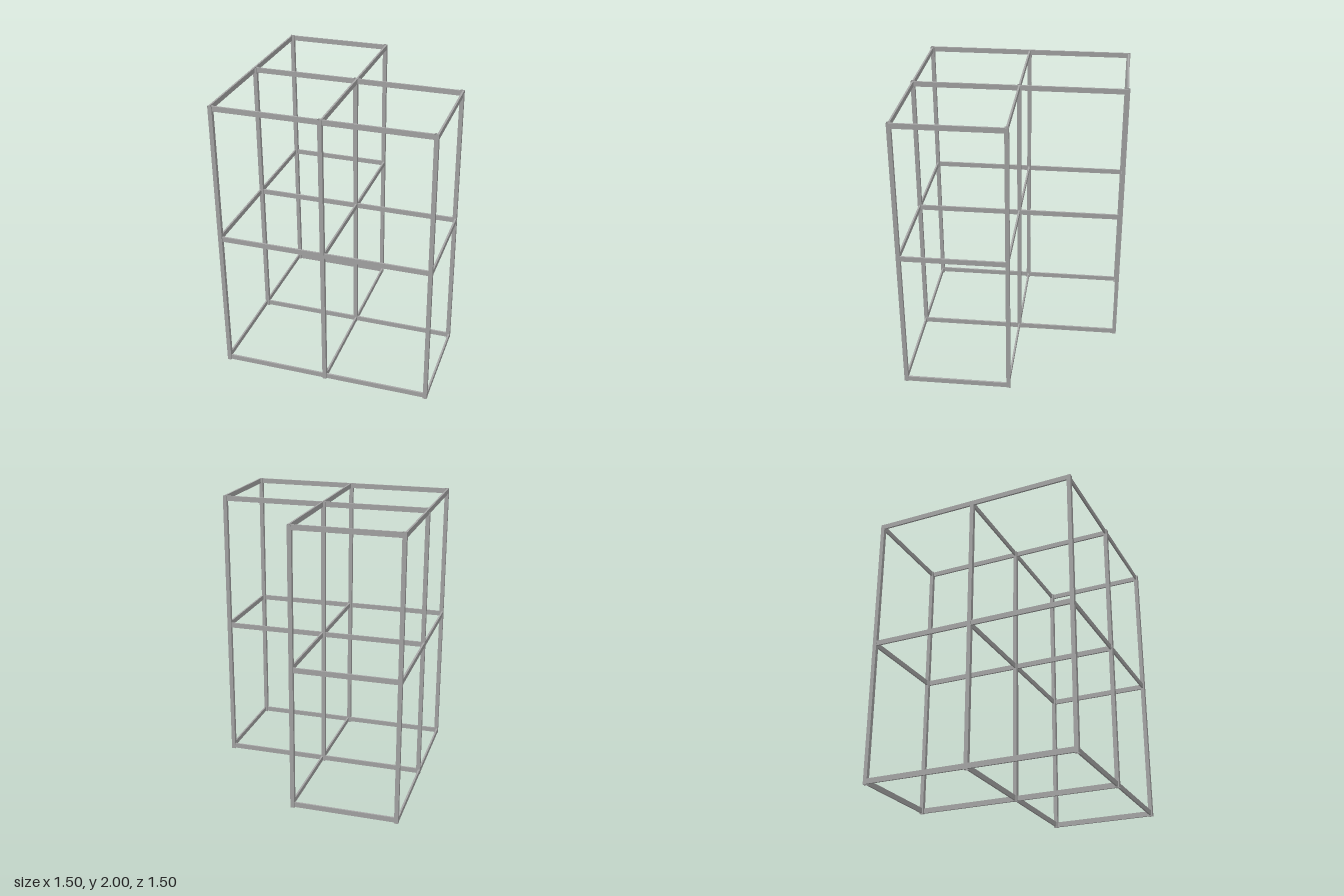
import * as THREE from 'three';

const PITCH = 0.736;            // spacing between post centres
const POST_W = 0.028;           // post width
const HEIGHT = 2;
const BEAM_H = 0.036, BEAM_T = 0.012;
const LEVELS = [0.003, 1.004, HEIGHT - BEAM_H]; // underside of each beam ring

export function createModel() {
  const model = new THREE.Group();
  model.name = 'shelfFrame';

  const steel = new THREE.MeshStandardMaterial({ color: 0xa8a8a8, side: THREE.DoubleSide });
  steel.name = 'grey steel';

  // Square tube, open at both ends, with flat sides
  const tube = new THREE.CylinderGeometry(POST_W / Math.SQRT2, POST_W / Math.SQRT2, HEIGHT, 4, 1, true)
    .rotateY(Math.PI / 4).toNonIndexed();
  tube.computeVertexNormals();

  const beam = (name, sx, sz, x, y, z) => {
    const mesh = new THREE.Mesh(new THREE.BoxGeometry(sx, BEAM_H, sz), steel);
    mesh.name = name;
    mesh.position.set(x, y + BEAM_H / 2, z);
    model.add(mesh);
  };

  // Posts on a 3 x 3 grid, leaving out the back left corner
  for (const i of [-1, 0, 1]) {
    for (const k of [-1, 0, 1]) {
      if (i === 1 && k === -1) continue;
      const post = new THREE.Mesh(tube, steel);
      post.name = 'post';
      post.position.set(i * PITCH, HEIGHT / 2, k * PITCH);
      model.add(post);
    }
  }

  for (const y of LEVELS) {
    // Cross beams between neighbouring posts
    for (const k of [-1, 0, 1]) {
      for (const side of [-1, 1]) {
        if (side === 1 && k === -1) continue;
        beam('crossBeam', PITCH - POST_W, BEAM_T, side * PITCH / 2, y, k * PITCH);
      }
    }
    // Side beams run along one face of each row of posts
    const inset = POST_W / 2 - BEAM_T / 2 - 0.001;
    beam('sideBeam', BEAM_T, 2 * PITCH, -PITCH - inset, y, 0);
    beam('sideBeam', BEAM_T, 2 * PITCH, inset, y, 0);
    beam('sideBeam', BEAM_T, PITCH, PITCH + inset, y, PITCH / 2);
  }
  return model;
}
